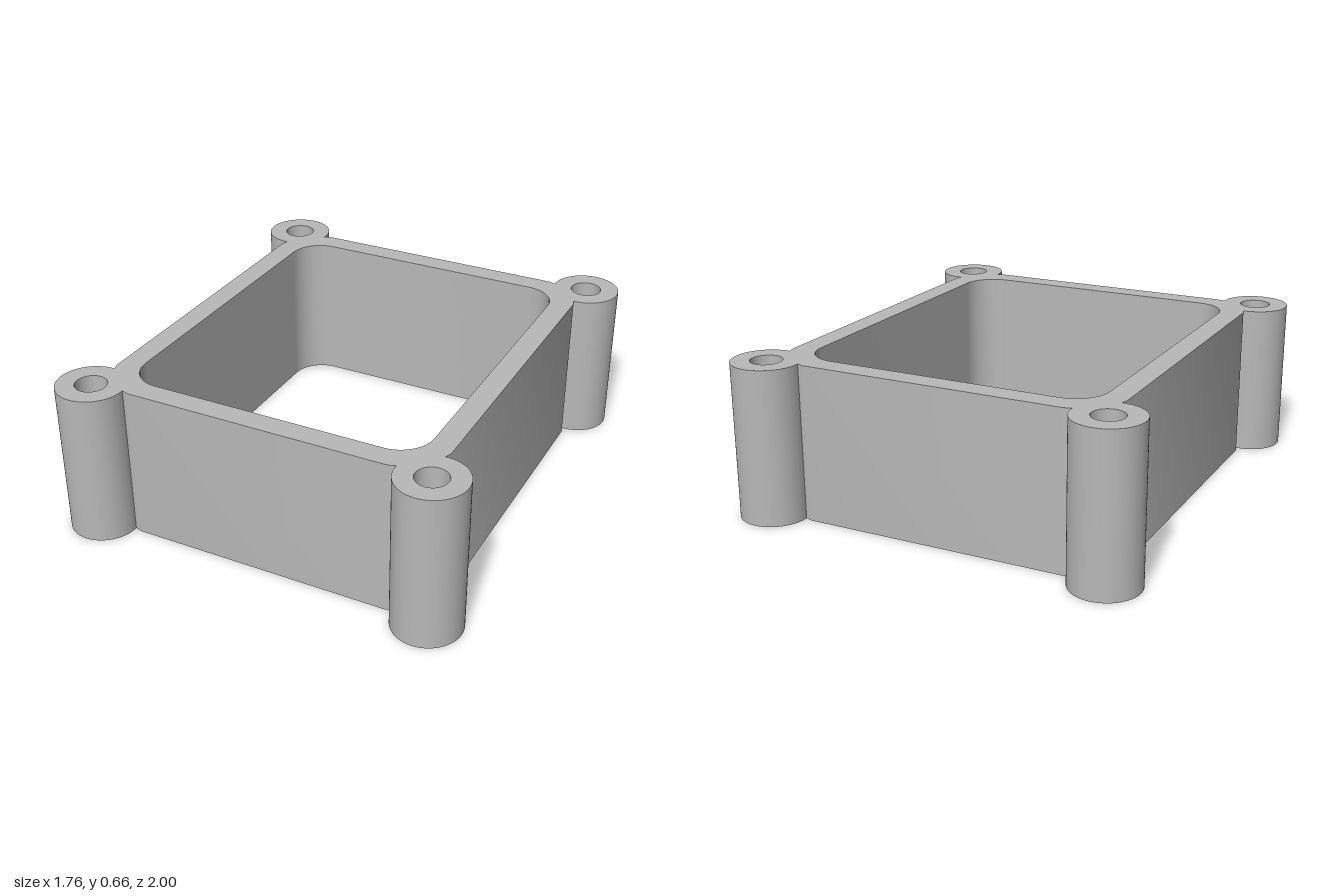
import * as THREE from 'three';
import { toCreasedNormals } from 'three/addons/utils/BufferGeometryUtils.js';

const HEIGHT = 0.66;
const BOSS_X = 0.737, BOSS_Z = 0.856;     // screw boss centres, on the outer wall lines
const BOSS_R = 0.144, HOLE_R = 0.066;
const INNER_X = 0.64, INNER_Z = 0.758, INNER_R = 0.14;

// Corners in counterclockwise order: [sign x, sign y, turn]
const CORNERS = [[1, 1, 0], [-1, 1, 1], [-1, -1, 2], [1, -1, 3]];

// Outer outline: straight walls joined by a three-quarter arc round each boss
function outerOutline() {
  const shape = new THREE.Shape();
  const relief = 0.07, run = 0.03;
  CORNERS.forEach(([sx, sy, turn], i) => {
    const a = turn * Math.PI / 2;
    const cx = sx * BOSS_X, cy = sy * BOSS_Z;
    const start = a - Math.PI / 2 - relief, end = a + Math.PI + relief;
    const on = (angle, r) => [cx + Math.cos(angle) * r, cy + Math.sin(angle) * r];
    const wallIn = on(a - Math.PI / 2, BOSS_R + run);
    const wallOut = on(a + Math.PI, BOSS_R + run);
    if (i === 0) shape.moveTo(...wallIn); else shape.lineTo(...wallIn);
    shape.lineTo(...on(start, BOSS_R));
    shape.absarc(cx, cy, BOSS_R, start, end, false);
    shape.lineTo(...wallOut);
  });
  shape.closePath();
  return shape;
}

// Rounded opening through the middle
function innerOpening() {
  const path = new THREE.Path();
  for (const [sx, sy, turn] of CORNERS) {
    const a = turn * Math.PI / 2;
    path.absarc(sx * (INNER_X - INNER_R), sy * (INNER_Z - INNER_R), INNER_R, a, a + Math.PI / 2, false);
  }
  path.closePath();
  return path;
}

export function createModel() {
  const model = new THREE.Group();
  model.name = 'spacerFrame';
  const grey = new THREE.MeshStandardMaterial({ color: 0xb8b8b8 });
  grey.name = 'grey';

  const shape = outerOutline();
  shape.holes.push(innerOpening());
  // Screw holes
  for (const [sx, sy] of CORNERS) {
    const hole = new THREE.Path();
    hole.absarc(sx * BOSS_X, sy * BOSS_Z, HOLE_R, 0, Math.PI * 2, true);
    shape.holes.push(hole);
  }

  // Walls and bosses as one upright extrusion
  const extruded = new THREE.ExtrudeGeometry(shape, { depth: HEIGHT, bevelEnabled: false, curveSegments: 40 });
  extruded.rotateX(-Math.PI / 2);
  const frame = new THREE.Mesh(toCreasedNormals(extruded, 0.4), grey);
  frame.name = 'frameWithScrewBosses';
  model.add(frame);
  return model;
}
